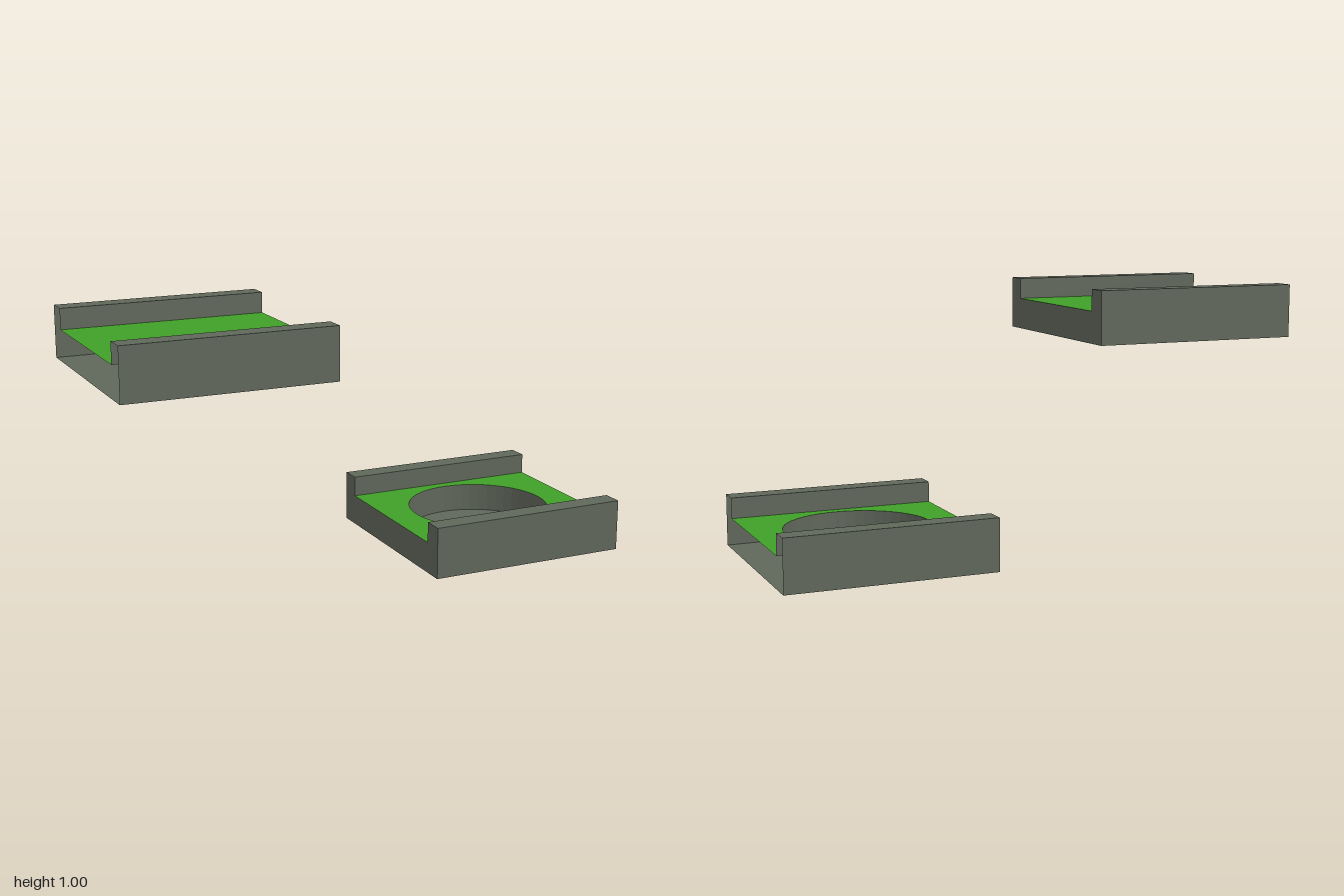
import * as THREE from 'three';

const HALF = 0.4;        // half width of a tile
const RAIL = 0.32;       // inner face of the rails
const DECK = 0.12, TOP = 0.2;
const CUP_R = 0.28, CUP_FLOOR = 0.01, SIDES = 48;

const grey = new THREE.MeshStandardMaterial({ color: 0x5f665a, side: THREE.DoubleSide, flatShading: true });
const green = new THREE.MeshStandardMaterial({ color: 0x40a028, side: THREE.DoubleSide, flatShading: true });

// channel cross-section as (z, y), counter-clockwise; the deck lies between points 4 and 5
const profile = [
  [-HALF, 0], [HALF, 0], [HALF, TOP], [RAIL, TOP], [RAIL, DECK],
  [-RAIL, DECK], [-RAIL, TOP], [-HALF, TOP],
];

function part(name, geometry, material) {
  const mesh = new THREE.Mesh(geometry, material);
  mesh.name = name;
  return mesh;
}

// sweep the cross-section along x, leaving out the deck
function shellGeometry() {
  const pos = [];
  profile.forEach(([z0, y0], i) => {
    if (i === 4) return;
    const [z1, y1] = profile[(i + 1) % profile.length];
    pos.push(-HALF, y0, z0, HALF, y0, z0, HALF, y1, z1);
    pos.push(-HALF, y0, z0, HALF, y1, z1, -HALF, y1, z1);
  });
  const g = new THREE.BufferGeometry();
  g.setAttribute('position', new THREE.Float32BufferAttribute(pos, 3));
  g.computeVertexNormals();
  return g;
}

// hollow tile, closed at -x and open at +x
function makeTile(name, withCup) {
  const tile = new THREE.Group();
  tile.name = name;
  tile.add(part('railShell', shellGeometry(), grey));

  // closed end wall
  const end = new THREE.Shape(profile.map(([z, y]) => new THREE.Vector2(z, y)));
  const endWall = part('endWall', new THREE.ShapeGeometry(end).rotateY(-Math.PI / 2), grey);
  endWall.position.x = -HALF;
  tile.add(endWall);

  // coloured deck, pierced where the cup sits
  const deckShape = new THREE.Shape([
    new THREE.Vector2(-HALF, -RAIL), new THREE.Vector2(HALF, -RAIL),
    new THREE.Vector2(HALF, RAIL), new THREE.Vector2(-HALF, RAIL),
  ]);
  if (withCup) {
    const rim = [];
    for (let i = 0; i < SIDES; i++) {
      const a = (i / SIDES) * Math.PI * 2;
      rim.push(new THREE.Vector2(Math.cos(a) * CUP_R, Math.sin(a) * CUP_R));
    }
    deckShape.holes.push(new THREE.Path(rim));

    // round recess hanging below the deck
    const cupWall = part('cupWall',
      new THREE.CylinderGeometry(CUP_R, CUP_R, DECK - CUP_FLOOR, SIDES, 1, true), grey);
    cupWall.position.y = (DECK + CUP_FLOOR) / 2;
    const cupFloor = part('cupFloor', new THREE.CircleGeometry(CUP_R, SIDES).rotateX(-Math.PI / 2), grey);
    cupFloor.position.y = CUP_FLOOR;
    tile.add(cupWall, cupFloor);
  }
  const deck = part('deck', new THREE.ShapeGeometry(deckShape).rotateX(-Math.PI / 2), green);
  deck.position.y = DECK;
  tile.add(deck);
  return tile;
}

export function createModel() {
  const model = new THREE.Group();
  model.name = 'channelTiles';

  const lower = makeTile('lowerTile', true);
  lower.position.set(0.6, 0, 0);

  // the upper tile opens the other way
  const upper = makeTile('upperTile', false);
  upper.position.set(-0.6, 0.8, 0);
  upper.rotation.y = Math.PI;

  model.add(lower, upper);
  return model;
}
